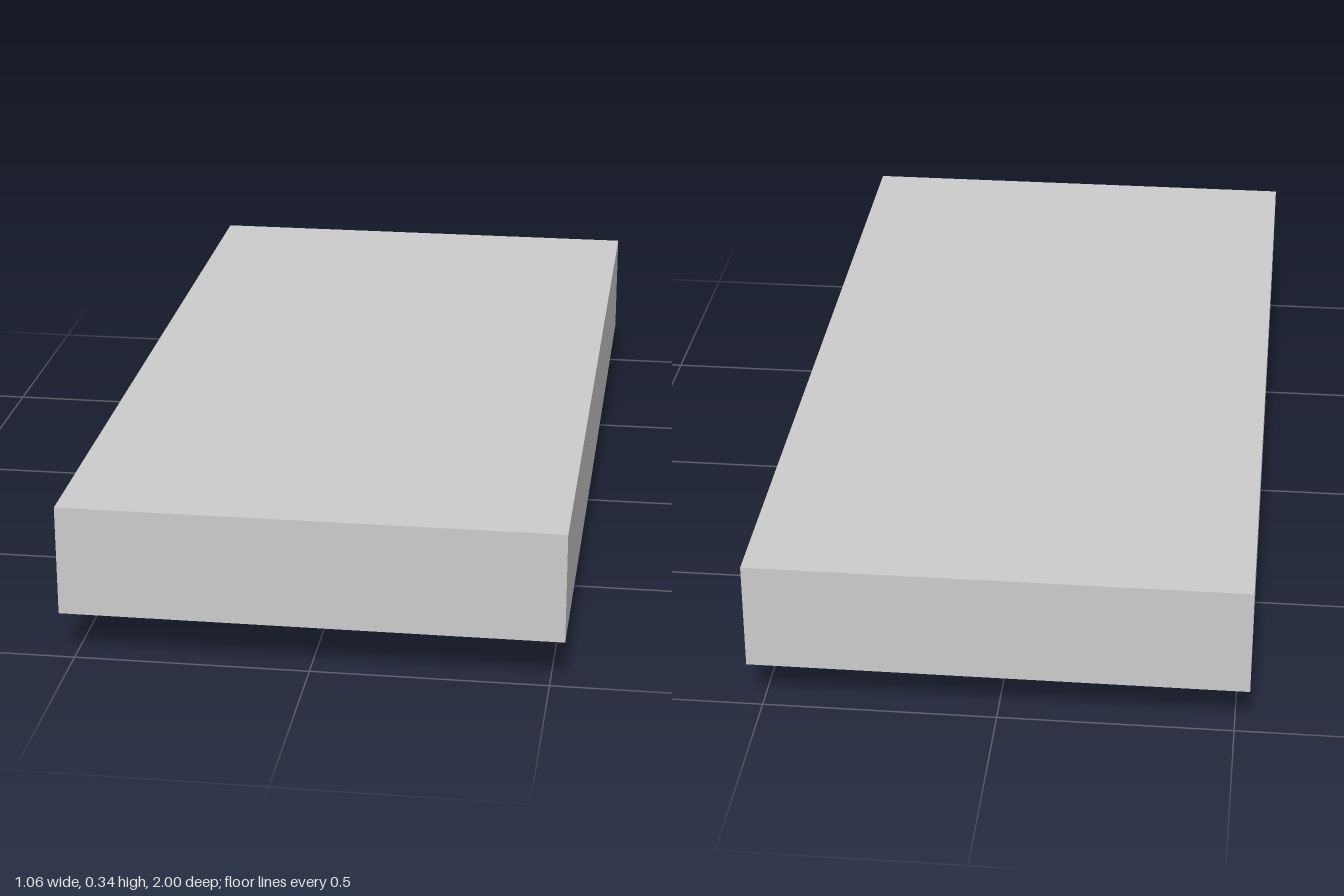
import * as THREE from 'three';

export function createModel() {
  const model = new THREE.Group();
  const material = new THREE.MeshStandardMaterial({ color: 0xcccccc, flatShading: true });

  // Flat slab forming the platform
  const deck = new THREE.Mesh(new THREE.BoxGeometry(1.06, 0.24, 2), material);
  deck.name = 'deck';
  deck.position.y = 0.22;
  model.add(deck);

  // Four rollers, half sunk into the underside
  const radius = 0.122;
  const rollerGeometry = new THREE.CylinderGeometry(radius, radius, 0.245, 32);
  rollerGeometry.rotateZ(Math.PI / 2);
  for (const [end, z] of [['front', 0.735], ['back', -0.75]]) {
    for (const [side, x] of [['Left', 0.343], ['Right', -0.353]]) {
      const roller = new THREE.Mesh(rollerGeometry, material);
      roller.name = `${end}${side}Roller`;
      roller.position.set(x, radius, z);
      model.add(roller);
    }
  }

  return model;
}
